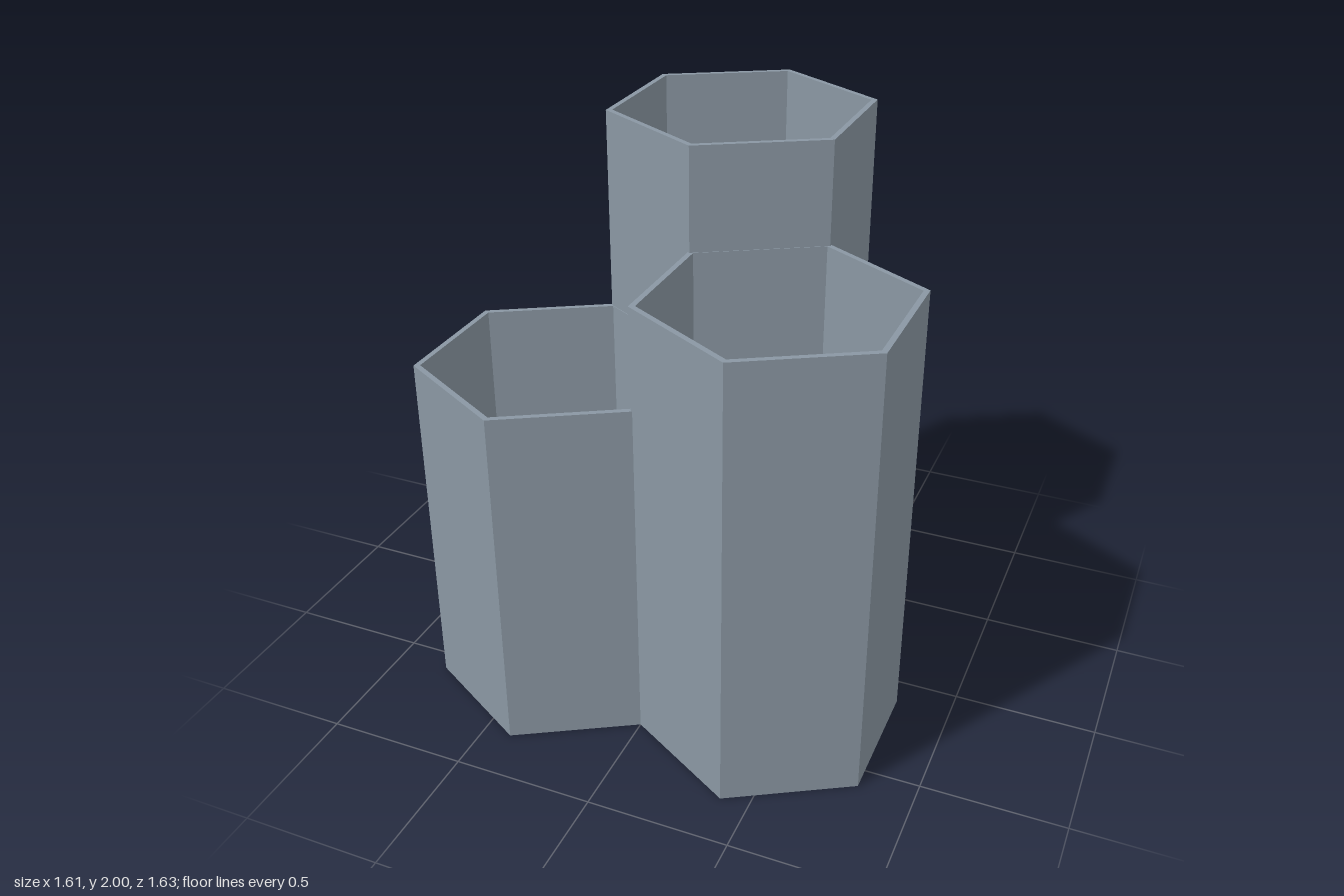
import * as THREE from 'three';

const OUTER = 0.47;   // corner radius of the outside
const INNER = 0.448;  // corner radius of the hollow
const FLOOR = 0.02;   // floor thickness

// Hollow six-sided cup, closed at the bottom and open at the top
function hexCup(height) {
  const profile = [
    [0, 0], [OUTER, 0], [OUTER, height],
    [INNER, height], [INNER, FLOOR], [0, FLOOR],
  ].map(([r, y]) => new THREE.Vector2(r, y));
  const geometry = new THREE.LatheGeometry(profile, 6).toNonIndexed();
  geometry.computeVertexNormals();
  return geometry;
}

export function createModel() {
  const slate = new THREE.MeshStandardMaterial({ color: 0x8a97a3, flatShading: true });
  slate.name = 'slateGrey';

  const group = new THREE.Group();
  group.name = 'hexagonalHolder';

  // name, height, x, z
  const cups = [
    ['tallBackCup', 2, 0, -0.345],
    ['mediumLeftCup', 1.635, 0.4, 0.345],
    ['shortRightCup', 1.275, -0.4, 0.345],
  ];
  for (const [name, height, x, z] of cups) {
    const cup = new THREE.Mesh(hexCup(height), slate);
    cup.name = name;
    cup.position.set(x, 0, z);
    group.add(cup);
  }
  return group;
}
